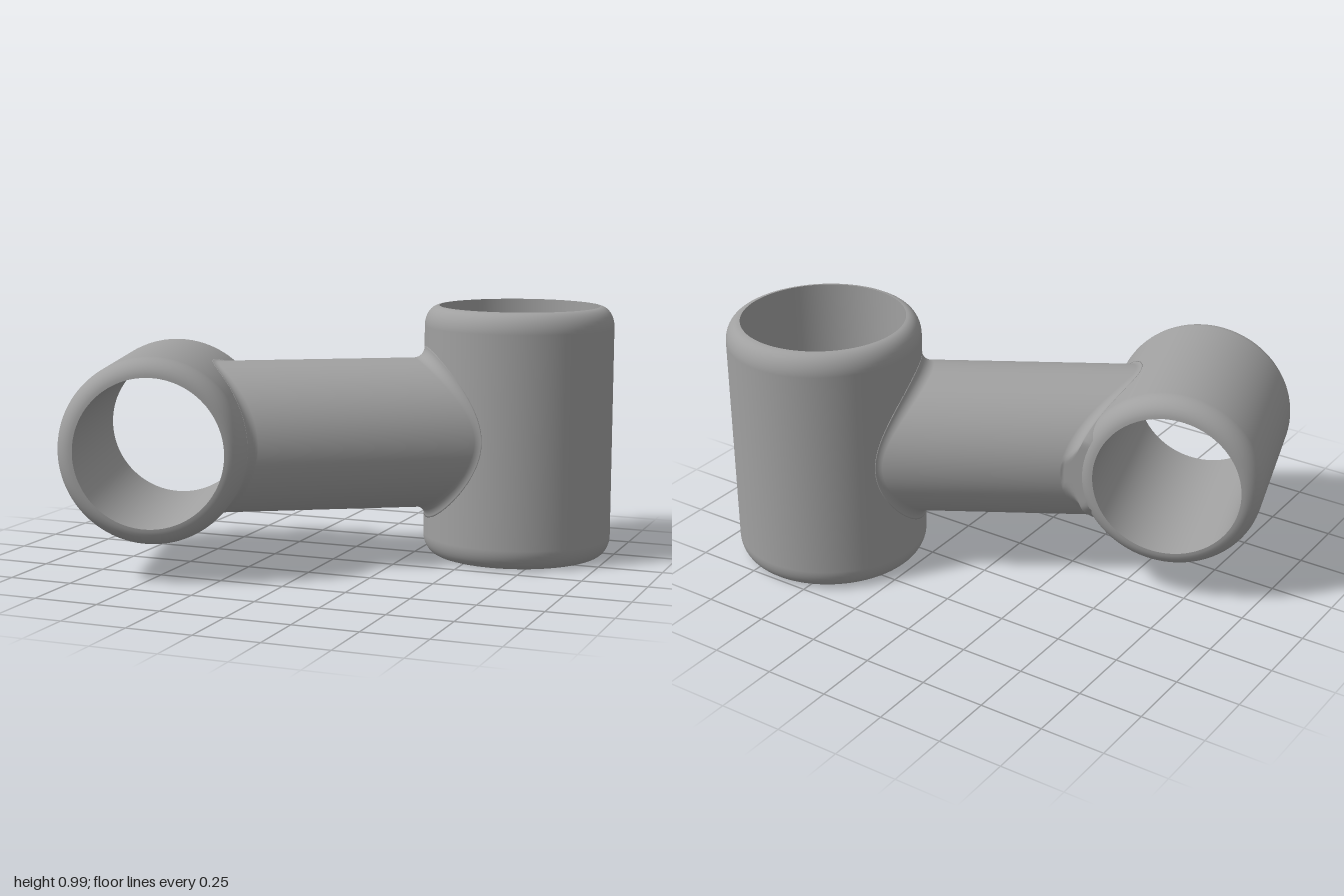
import * as THREE from 'three';

const MID = 0.4925; // height of the horizontal axes
const V = (x, y, z) => new THREE.Vector3(x, y, z);

// The two sockets: centre, axis, outer radius, bore radius, half length
const upright = { name: 'uprightSocket', c: V(0.625, MID, -0.4), d: V(0, 1, 0), R: 0.37, bore: 0.313, h: 0.4925 };
const level = { name: 'levelSocket', c: V(-0.572, MID, 0.308), d: V(0.3, 0, 0.954).normalize(), R: 0.35, bore: 0.281, h: 0.388 };

// Sleeve with rounded rims and an open bore
function socket({ name, c, d, R, bore, h }, material) {
  const group = new THREE.Group();
  group.name = name;
  const round = 0.08, steps = 10, wall = R - bore;
  const profile = [];
  for (let s = -1; s <= 1; s += 2) {
    for (let i = 0; i <= steps; i++) {
      const a = (s < 0 ? 1 - i / steps : i / steps) * Math.PI / 2;
      profile.push(new THREE.Vector2(R - wall * (1 - Math.cos(a)), s * (h - round * (1 - Math.sin(a)))));
    }
  }
  const shell = new THREE.Mesh(new THREE.LatheGeometry(profile, 96), material);
  shell.name = name + 'Shell';
  const inside = [new THREE.Vector2(bore, h), new THREE.Vector2(bore, -h)];
  const hole = new THREE.Mesh(new THREE.LatheGeometry(inside, 96), material);
  hole.name = name + 'Bore';
  group.add(shell, hole);
  group.quaternion.setFromUnitVectors(V(0, 1, 0), d);
  group.position.copy(c);
  return group;
}

// Round bar between two sockets, each end flowing into the sleeve with a rolling-ball fillet
function bar(from, to, r, f) {
  const e = to.c.clone().sub(from.c).normalize();
  const up = V(0, 1, 0);
  const side = e.clone().cross(up);
  const segments = 96, steps = 8;

  // Points from the bar surface, round the fillet, to just inside the sleeve wall
  const endCurve = (s, n, sign) => {
    const across = v => v.clone().addScaledVector(s.d, -v.dot(s.d));
    const start = from.c.clone().addScaledVector(n, r + f);
    const a = across(e), b = across(start.clone().sub(s.c));
    const A = a.dot(a), B = a.dot(b), K = b.dot(b) - (s.R + f) ** 2;
    const t = (-B + sign * Math.sqrt(B * B - A * K)) / A;
    const ball = start.addScaledVector(e, t);
    const inward = across(ball.clone().sub(s.c)).normalize().negate();
    const outward = n.clone().negate();
    const points = [];
    for (let i = 0; i <= steps; i++) {
      const dir = outward.clone().lerp(inward, i / steps).normalize();
      points.push(ball.clone().addScaledVector(dir, f));
    }
    points.push(points[steps].clone().addScaledVector(inward, 0.03));
    // keep the fillet within the length of the sleeve
    points.forEach((p, i) => {
      const along = p.clone().sub(s.c).dot(s.d);
      const kept = THREE.MathUtils.clamp(along, -s.h, s.h);
      if (i > 0) p.addScaledVector(s.d, kept - along);
    });
    return points;
  };

  const positions = [], index = [];
  const rows = 2 * (steps + 2);
  for (let j = 0; j < segments; j++) {
    const a = j / segments * Math.PI * 2;
    const n = up.clone().multiplyScalar(Math.cos(a)).addScaledVector(side, Math.sin(a));
    const line = [...endCurve(from, n, 1).reverse(), ...endCurve(to, n, -1)];
    line.forEach(p => positions.push(p.x, p.y, p.z));
    const next = (j + 1) % segments;
    for (let i = 0; i < rows - 1; i++) {
      const p = j * rows + i, q = next * rows + i;
      index.push(p, q, p + 1, q, q + 1, p + 1);
    }
  }
  const geometry = new THREE.BufferGeometry();
  geometry.setAttribute('position', new THREE.Float32BufferAttribute(positions, 3));
  geometry.setIndex(index);
  geometry.computeVertexNormals();
  return geometry;
}

export function createModel() {
  const grey = new THREE.MeshStandardMaterial({ color: 0xa0a0a0 });
  grey.name = 'plain grey';
  const model = new THREE.Group();
  model.name = 'pipeConnector';
  model.add(socket(upright, grey), socket(level, grey));
  const link = new THREE.Mesh(bar(level, upright, 0.293, 0.045), grey);
  link.name = 'connectingBar';
  model.add(link);
  return model;
}
